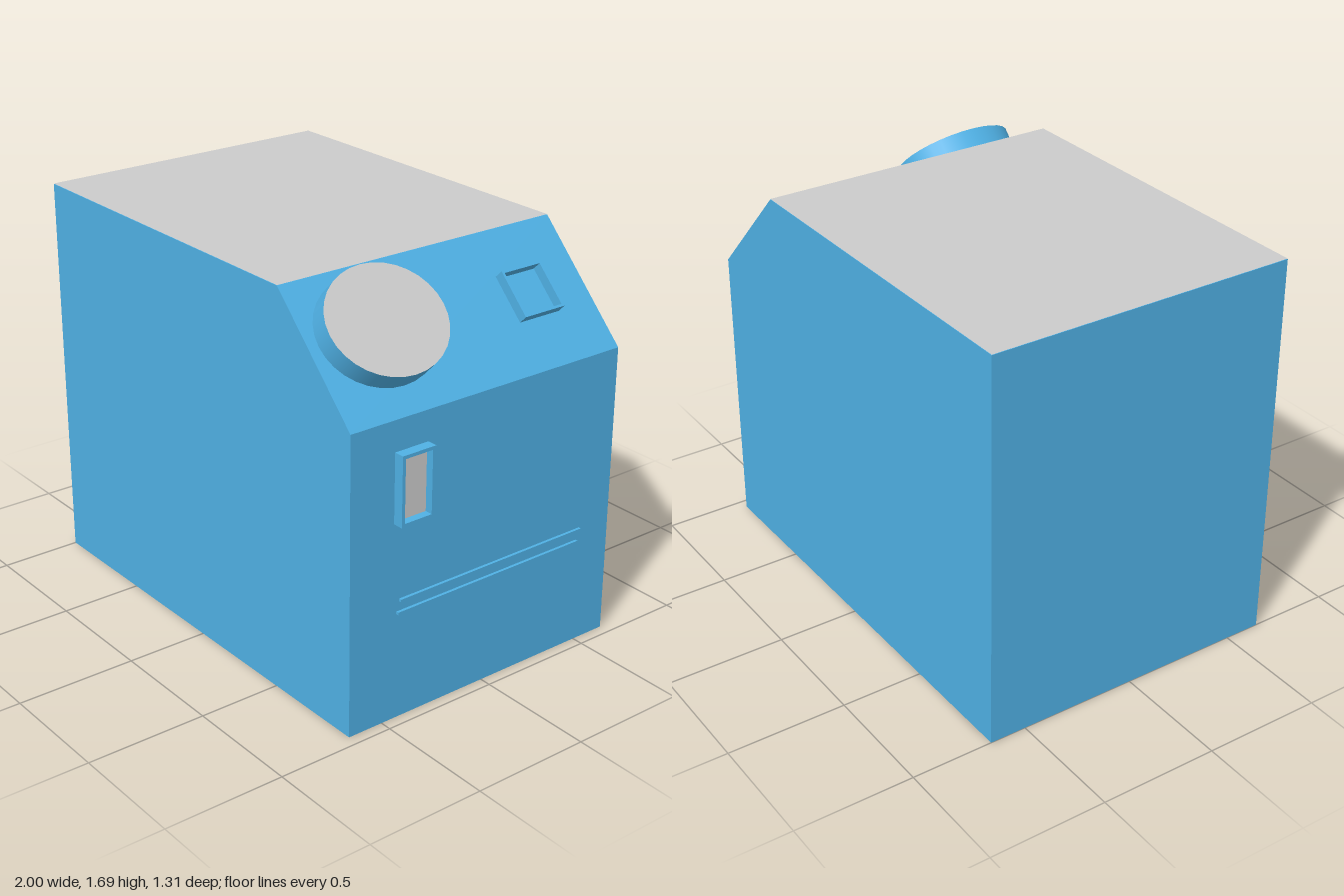
import * as THREE from 'three';

const blue = new THREE.MeshStandardMaterial({ color: 0x4fb0e4 });
const grey = new THREE.MeshStandardMaterial({ color: 0xcccccc });

function add(parent, name, geometry, material, x = 0, y = 0, z = 0) {
  const mesh = new THREE.Mesh(geometry, material);
  mesh.name = name;
  mesh.position.set(x, y, z);
  parent.add(mesh);
  return mesh;
}

// Open rectangular frame, w by h, rising from z = 0 to z = depth
function frameGeometry(w, h, wall, depth) {
  const rect = (Type, a, b) => new Type([
    new THREE.Vector2(-a, -b), new THREE.Vector2(a, -b),
    new THREE.Vector2(a, b), new THREE.Vector2(-a, b),
  ]);
  const shape = rect(THREE.Shape, w / 2, h / 2);
  shape.holes.push(rect(THREE.Path, w / 2 - wall, h / 2 - wall));
  return new THREE.ExtrudeGeometry(shape, { depth, bevelEnabled: false });
}

export function createModel() {
  const model = new THREE.Group();
  model.name = 'machine';

  // Cabinet with a sloped control panel along its +x top edge
  const profile = new THREE.Shape([
    [-1, 0], [0.952, 0], [0.952, 1.23], [0.535, 1.655], [-1, 1.655],
  ].map(([x, y]) => new THREE.Vector2(x, y)));
  const cabinet = new THREE.ExtrudeGeometry(profile, { depth: 1.31, bevelEnabled: false });
  cabinet.translate(0, 0, -0.655);
  add(model, 'cabinet', cabinet, blue);

  // Grey top surface
  const top = new THREE.PlaneGeometry(1.535, 1.31).rotateX(-Math.PI / 2);
  add(model, 'topPanel', top, grey, -0.2325, 1.657, 0);

  // Parts on the slope: local y points out of it, local x runs down it
  const dial = new THREE.Group();
  dial.name = 'dial';
  dial.position.set(0.7225, 1.4725, 0.355);
  dial.rotation.z = -Math.PI / 4;
  const disc = new THREE.CylinderGeometry(0.26, 0.26, 0.088, 32);
  disc.scale(0.226 / 0.26, 1, 1);
  add(dial, 'dialDisc', disc, [blue, grey, blue], 0, 0.044, 0);
  model.add(dial);

  const socket = new THREE.Group();
  socket.name = 'socket';
  socket.position.set(0.74, 1.4515, -0.366);
  socket.rotation.z = -Math.PI / 4;
  add(socket, 'socketFrame', frameGeometry(0.2, 0.2, 0.01, 0.043).rotateX(-Math.PI / 2), blue);
  model.add(socket);

  // Framed window on the +x wall with a recessed grey pane
  add(model, 'windowFrame', frameGeometry(0.154, 0.284, 0.014, 0.045).rotateY(Math.PI / 2),
    blue, 0.95, 0.963, 0.376);
  add(model, 'windowPane', new THREE.BoxGeometry(0.012, 0.256, 0.126), grey, 0.956, 0.963, 0.376);

  // Two thin rails in front of the +x wall
  for (const [x, y] of [[0.989, 0.524], [0.974, 0.463]]) {
    add(model, 'rail', new THREE.BoxGeometry(0.012, 0.011, 0.914), blue, x, y, -0.007);
  }
  return model;
}
